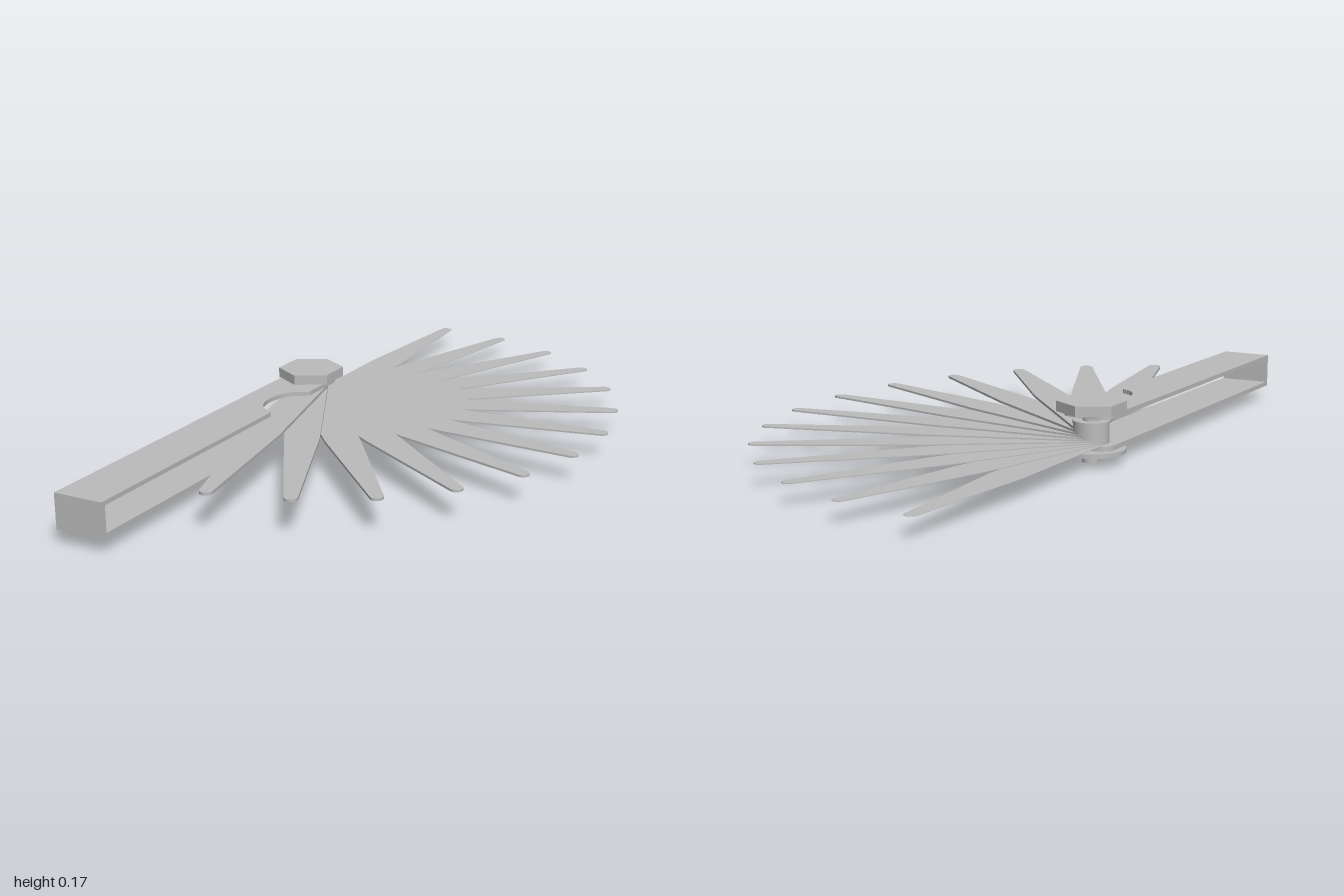
import * as THREE from 'three';

export function createModel() {
  const model = new THREE.Group();
  model.name = 'feelerGauge';
  const steel = new THREE.MeshStandardMaterial({ color: 0xbcbcbc });
  steel.name = 'steel grey';

  // Everything is built around the pivot axis; shape +y becomes -z.
  const gauge = new THREE.Group();
  gauge.name = 'gauge';
  gauge.position.set(-0.403, 0, -0.097);
  model.add(gauge);

  const add = (name, geometry, y) => {
    const mesh = new THREE.Mesh(geometry, steel);
    mesh.name = name;
    mesh.position.y = y;
    gauge.add(mesh);
    return mesh;
  };
  const slab = (shape, thickness) =>
    new THREE.ExtrudeGeometry(shape, { depth: thickness, bevelEnabled: false, curveSegments: 12 })
      .rotateX(-Math.PI / 2);
  const disc = (name, radius, y0, y1, sides = 40) =>
    add(name, new THREE.CylinderGeometry(radius, radius, y1 - y0, sides), (y0 + y1) / 2);

  // Handle plates: rounded at the pivot end, thumb notch in the top one
  const W = 0.0715, END = -1.097, R = 0.045;
  const plateShape = (notched) => {
    const s = new THREE.Shape();
    s.moveTo(-W, END);
    s.lineTo(W, END);
    if (notched) {
      s.lineTo(W, -0.345);
      s.quadraticCurveTo(W, -0.33, W - 0.015, -0.326);
      s.bezierCurveTo(-0.014, -0.3, -0.014, -0.165, W - 0.015, -0.138);
      s.quadraticCurveTo(W, -0.134, W, -0.119);
    }
    s.lineTo(W, 0);
    s.quadraticCurveTo(W, R, W - R, R);
    s.lineTo(R - W, R);
    s.quadraticCurveTo(-W, R, -W, 0);
    return s;
  };
  add('handleBottomPlate', slab(plateShape(false), 0.013), 0.04);
  add('handleTopPlate', slab(plateShape(true), 0.012), 0.125);
  const wall = add('handleEndWall', new THREE.BoxGeometry(2 * W, 0.072, 0.014), 0.089);
  wall.position.z = 1.09;

  // Fan of tapered blades, each thicker than the one below
  const H = 0.0485, TIP = 0.018, LEN = 0.903;
  const blade = new THREE.Shape();
  blade.absarc(0, 0, H, Math.PI, 2 * Math.PI, false);
  blade.lineTo(H, 0.455);
  blade.lineTo(TIP, LEN - TIP);
  blade.absarc(0, LEN - TIP, TIP, 0, Math.PI, false);
  blade.lineTo(-H, 0.455);
  blade.lineTo(-H, 0);
  let y = 0.054;
  for (let i = 0; i < 13; i++) {
    const thickness = 0.0008 + 0.00062 * i;
    add('blade' + (i + 1), slab(blade, thickness), y).rotation.y = -i * Math.PI / 13;
    y += thickness;
  }

  // Pivot bolt
  disc('boltShaft', 0.023, 0, 0.138);
  disc('washer', 0.094, 0.028, 0.04);
  disc('hexHead', 0.094, 0.137, 0.165, 6).geometry = new THREE.CylinderGeometry(0.094, 0.094, 0.028, 6).toNonIndexed();
  gauge.getObjectByName('hexHead').geometry.computeVertexNormals();

  return model;
}
